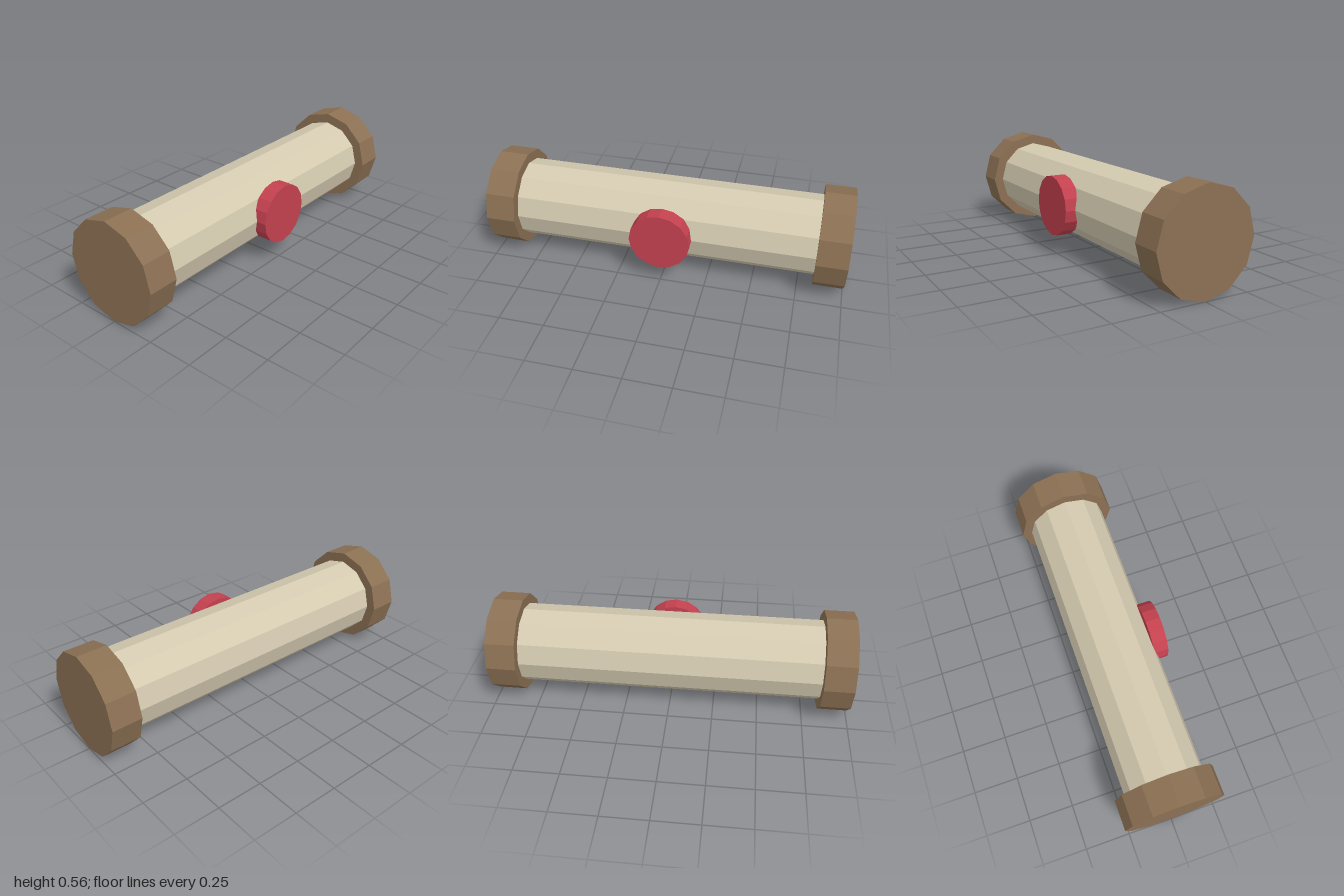
import * as THREE from 'three';

const CENTER_Y = 0.278;

function flatMaterial(name, color) {
  const material = new THREE.MeshStandardMaterial({ color, flatShading: true });
  material.name = name;
  return material;
}

// Faceted cylinder lying along the x or z axis
function lyingCylinder(name, radius, length, sides, axis, material) {
  const geometry = new THREE.CylinderGeometry(radius, radius, length, sides);
  if (axis === 'x') geometry.rotateZ(Math.PI / 2);
  else geometry.rotateX(Math.PI / 2);
  const mesh = new THREE.Mesh(geometry, material);
  mesh.name = name;
  mesh.position.y = CENTER_Y;
  return mesh;
}

export function createModel() {
  const group = new THREE.Group();
  group.name = 'scroll';

  const parchment = flatMaterial('parchment', 0xd4cab0);
  const wood = flatMaterial('wood', 0x8b7053);
  const wax = flatMaterial('red wax', 0xc4414f);

  // Rolled parchment between the end caps
  group.add(lyingCylinder('parchmentRoll', 0.222, 1.7, 12, 'x', parchment));

  // Wooden end caps
  for (const side of [-1, 1]) {
    const name = side > 0 ? 'leftEndCap' : 'rightEndCap';
    const cap = lyingCylinder(name, 0.278, 0.165, 12, 'x', wood);
    cap.position.x = side * (1 - 0.165 / 2);
    group.add(cap);
  }

  // Wax seal on the front
  const seal = lyingCylinder('waxSeal', 0.167, 0.083, 16, 'z', wax);
  seal.position.z = 0.278 - 0.083 / 2;
  group.add(seal);

  return group;
}
